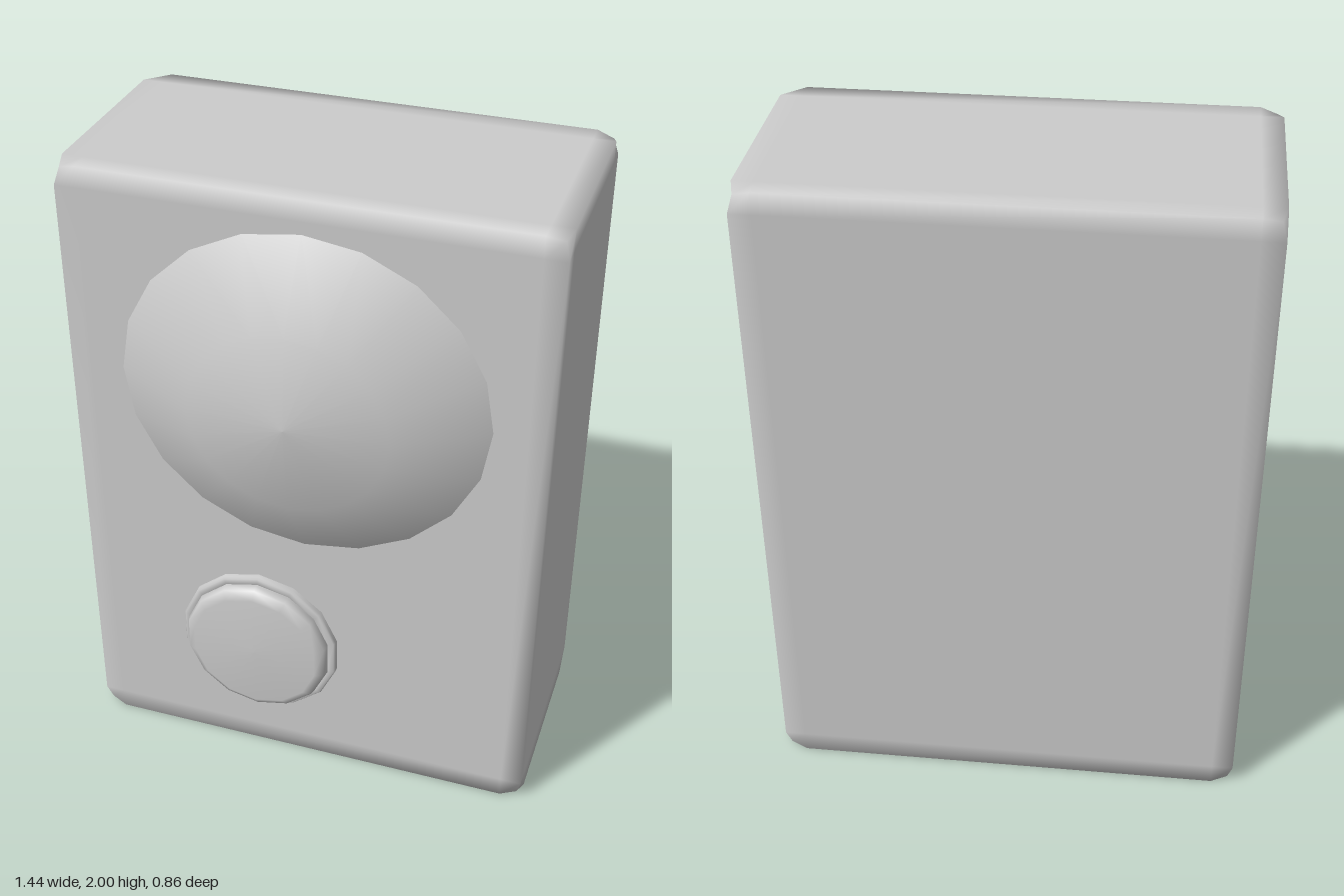
import * as THREE from 'three';
import { mergeVertices } from 'three/addons/utils/BufferGeometryUtils.js';

const W = 0.72, H = 1, BACK = -0.43, FRONT = 0.26;
const material = new THREE.MeshStandardMaterial({ color: 0xcccccc });

// Box with a support loop near every edge, slightly pulled-in corners and soft normals
function softBox(hx, hy, hz, loop, pull) {
  const g = new THREE.BoxGeometry(2, 2, 2, 3, 3, 3);
  g.deleteAttribute('normal');
  g.deleteAttribute('uv');
  const half = [hx, hy, hz];
  const p = g.attributes.position;
  for (let i = 0; i < p.count; i++) {
    const v = [p.getX(i), p.getY(i), p.getZ(i)];
    const corner = v.every((c) => Math.abs(c) > 0.9);
    const q = v.map((c, k) => {
      const inset = Math.abs(c) < 0.9 ? loop : corner ? pull : 0;
      return Math.sign(c) * (half[k] - inset);
    });
    p.setXYZ(i, ...q);
  }
  const merged = mergeVertices(g);
  merged.computeVertexNormals();
  return merged;
}

// Lathe turned so that its axis points to the front; profile is [radius, z] pairs
function frontLathe(profile, sides) {
  const pts = profile.map(([r, z]) => new THREE.Vector2(r, z));
  return new THREE.LatheGeometry(pts, sides).rotateX(Math.PI / 2);
}

export function createModel() {
  const group = new THREE.Group();
  const add = (name, geometry, x, y, z) => {
    const mesh = new THREE.Mesh(geometry, material);
    mesh.name = name;
    mesh.position.set(x, y, z);
    group.add(mesh);
    return mesh;
  };

  // Housing
  add('housing', softBox(W, H, (FRONT - BACK) / 2, 0.065, 0.014), 0, H, (FRONT + BACK) / 2);

  // Shallow oval dome
  const dome = add('dome', frontLathe([[0.56, -0.003], [0.3, 0.148], [0, 0.173]], 20), 0, 1.378, FRONT);
  dome.scale.y = 0.525 / 0.56;

  // Round button sitting in a thin rim
  add('buttonRim', frontLathe([[0.26, -0.01], [0.26, 0.012], [0.255, 0.02], [0.235, 0.022], [0.228, 0.01]], 14),
    -0.15, 0.44, FRONT);
  add('button', frontLathe([[0.23, -0.01], [0.238, 0.03], [0.232, 0.05], [0.205, 0.068], [0, 0.072]], 14),
    -0.15, 0.44, FRONT);

  return group;
}
